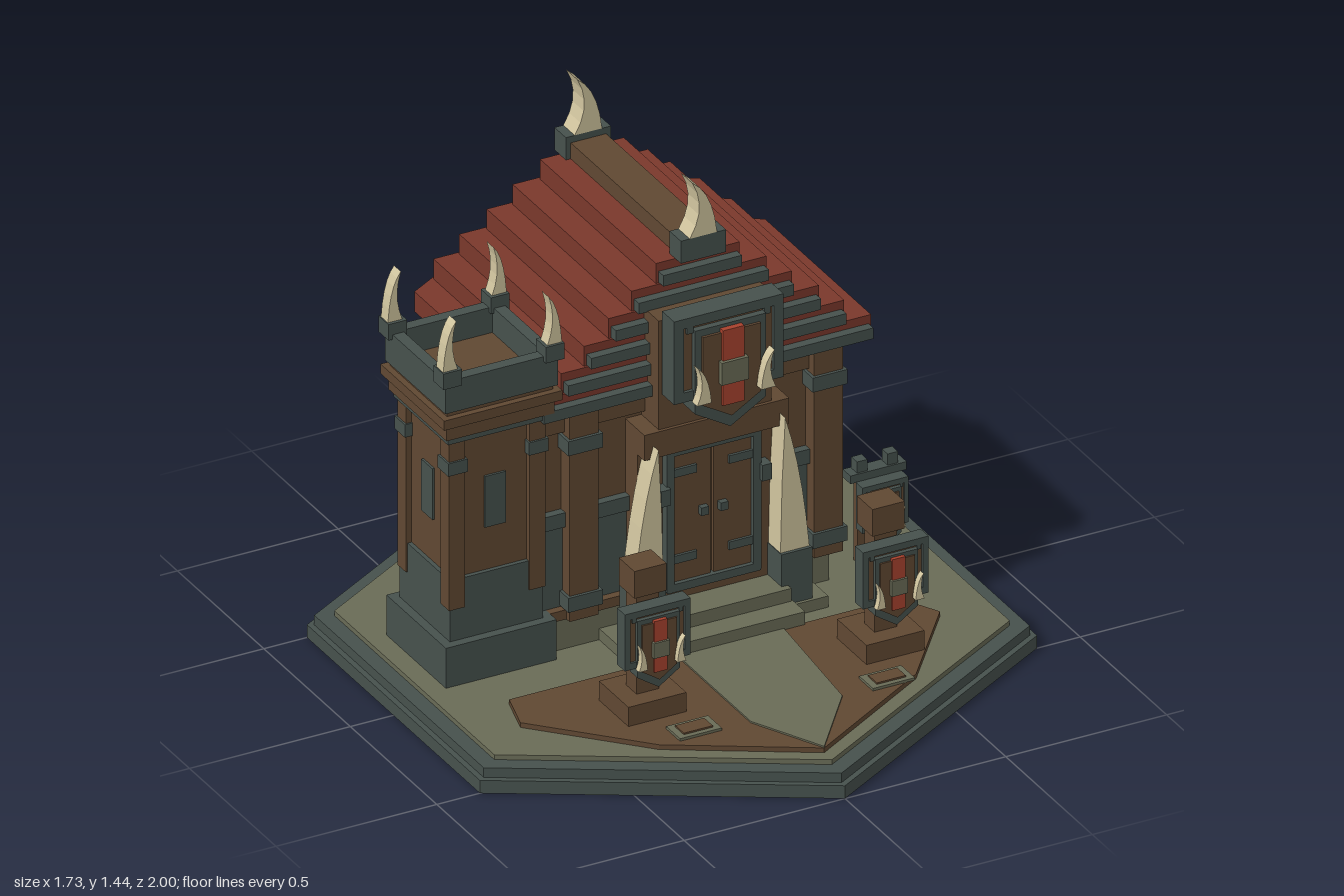
import * as THREE from 'three';

const mat = (name, color) => Object.assign(new THREE.MeshStandardMaterial({ color, flatShading: true }), { name });
const stone = mat('dark stone', 0x46514d);
const wood = mat('brown wood', 0x604832);
const ground = mat('olive ground', 0x696b56);
const roofRed = mat('roof red', 0x7a382c);
const bannerRed = mat('banner red', 0xa8422e);
const bone = mat('bone', 0xd0c49e);

const add = (parent, name, geo, m, x = 0, y = 0, z = 0) => {
  const mesh = new THREE.Mesh(geo, m);
  mesh.name = name;
  mesh.position.set(x, y, z);
  parent.add(mesh);
  return mesh;
};
// box given by its limits
const box = (parent, name, m, x0, x1, y0, y1, z0, z1) =>
  add(parent, name, new THREE.BoxGeometry(x1 - x0, y1 - y0, z1 - z0), m, (x0 + x1) / 2, (y0 + y1) / 2, (z0 + z1) / 2);
const extrude = (shape, depth) => new THREE.ExtrudeGeometry(shape, { depth, bevelEnabled: false, curveSegments: 5 });
// horizontal slab from [x, z] points
const slab = (parent, name, m, pts, y0, y1) => {
  const geo = extrude(new THREE.Shape(pts.map(([x, z]) => new THREE.Vector2(x, -z))), y1 - y0);
  return add(parent, name, geo.rotateX(-Math.PI / 2), m, 0, y0, 0);
};
const group = (parent, name, x = 0, y = 0, z = 0, ry = 0) => {
  const g = new THREE.Group();
  g.name = name;
  g.position.set(x, y, z);
  g.rotation.y = ry;
  parent.add(g);
  return g;
};
// curved horn, tip bending toward side s
const horn = (parent, name, s, w, h, d, x, y, z) => {
  const k = new THREE.Shape();
  k.moveTo(s * 0.5 * w, 0);
  k.quadraticCurveTo(-s * 0.15 * w, 0.5 * h, s * 0.4 * w, h);
  k.quadraticCurveTo(-s * 0.35 * w, 0.75 * h, -s * 0.5 * w, 0);
  add(parent, name, extrude(k, d), bone, x, y, z - d / 2);
};

// framed plaque with pointed crest, banner and tusks; back on z = 0
function plaque(parent, x, y, z, sx, sy, sz) {
  const g = group(parent, 'plaque', x, y, z);
  g.scale.set(sx, sy, sz);
  box(g, 'plaqueBoard', wood, -0.155, 0.155, -0.115, 0.115, 0, 0.07);
  for (const s of [-1, 1]) {
    box(g, 'plaqueFrameSide', stone, s * 0.155 - 0.015, s * 0.155 + 0.015, -0.13, 0.13, 0.01, 0.08);
    box(g, 'plaqueFrameRail', stone, -0.14, 0.14, s * 0.115 - 0.015, s * 0.115 + 0.015, 0.01, 0.08);
    box(g, 'plaqueStud', stone, s * 0.12 - 0.01, s * 0.12 + 0.01, 0.08, 0.1, 0.07, 0.08);
    horn(g, 'plaqueTusk', s, 0.045, 0.115, 0.03, s * 0.1, -0.125, 0.11);
  }
  const crest = (k, lift) => new THREE.Shape([[-0.11, 0.09], [-0.11, -0.17], [0, -0.235], [0.11, -0.17], [0.11, 0.09]]
    .map(([a, b]) => new THREE.Vector2(a * k, b * k + lift)));
  add(g, 'crestRim', extrude(crest(1, 0), 0.07), stone, 0, 0, 0.02);
  add(g, 'crestFace', extrude(crest(0.82, -0.005), 0.012), wood, 0, 0, 0.086);
  box(g, 'banner', bannerRed, -0.033, 0.033, -0.155, 0.08, 0.09, 0.108);
  box(g, 'bannerEmblem', ground, -0.042, 0.042, -0.085, -0.015, 0.1, 0.118);
}

function buildBase(root) {
  const g = group(root, 'base');
  for (const [name, m, r, y0, y1] of [['baseStep', stone, 1, 0, 0.04], ['baseRim', stone, 0.98, 0.04, 0.07], ['ground', ground, 0.925, 0.07, 0.085]]) {
    const pts = [];
    for (let i = 0; i < 6; i++) pts.push([r * Math.sin(i * Math.PI / 3), r * Math.cos(i * Math.PI / 3)]);
    slab(g, name, m, pts, y0, y1);
  }
  // dirt beds either side of the path
  slab(g, 'dirtLeft', wood, [[0.22, 0.23], [0.58, 0.23], [0.645, 0.35], [0.42, 0.63], [0, 0.88], [0.18, 0.65]], 0.085, 0.1);
  slab(g, 'dirtRight', wood, [[-0.11, 0.23], [-0.63, 0.23], [-0.665, 0.36], [-0.39, 0.65], [0, 0.88], [-0.11, 0.66]], 0.085, 0.1);
  slab(g, 'path', ground, [[-0.11, 0.23], [0.22, 0.23], [0.18, 0.65], [0, 0.88], [-0.11, 0.66]], 0.085, 0.105);
  for (const x of [-0.265, 0.335]) {
    box(g, 'flagstoneRim', ground, x - 0.065, x + 0.065, 0.1, 0.108, 0.58, 0.66);
    box(g, 'flagstone', wood, x - 0.045, x + 0.045, 0.1, 0.113, 0.595, 0.645);
  }
  // entrance steps
  box(g, 'lowerStep', ground, -0.24, 0.4, 0.085, 0.12, 0, 0.16);
  box(g, 'middleStep', ground, -0.14, 0.285, 0.085, 0.14, 0, 0.24);
  box(g, 'upperStep', ground, -0.12, 0.28, 0.14, 0.18, 0, 0.17);
}

function post(parent, x, z, ry = 0) {
  const g = group(parent, 'cornerPost', x, 0, z, ry);
  box(g, 'postShaft', wood, -0.045, 0.045, 0.18, 0.82, -0.045, 0.045);
  for (const y of [0.215, 0.705]) box(g, 'postBand', stone, -0.054, 0.054, y, y + 0.045, -0.054, 0.054);
}

function buildHouse(root) {
  const g = group(root, 'house');
  const outline = k => [[-0.45 - k, k], [0.45 + k, k], [0.45 + k, -0.38 - k * 0.6], [0, -0.645 - k * 1.15], [-0.45 - k, -0.38 - k * 0.6]];
  slab(g, 'foundation', ground, outline(0.025), 0.085, 0.18);
  slab(g, 'sill', wood, outline(0.032), 0.18, 0.21);
  slab(g, 'walls', wood, outline(0), 0.21, 0.83);
  slab(g, 'eaveBeam', wood, outline(0.02), 0.76, 0.82);
  // stone panels, bands and barred windows along each wall
  const c = outline(0);
  for (let i = 0; i < 5; i++) {
    const [ax, az] = c[i], [bx, bz] = c[(i + 1) % 5];
    const h = Math.hypot(bx - ax, bz - az) / 2 - 0.03;
    const w = group(g, 'wallSide', (ax + bx) / 2, 0, (az + bz) / 2, Math.atan2(az - bz, bx - ax));
    box(w, 'stonePanel', stone, -h, h, 0.21, 0.47, -0.01, 0.008);
    box(w, 'panelBand', stone, -h, h, 0.465, 0.51, -0.01, 0.025);
    if (i === 1 || i === 4) {
      box(w, 'windowPane', stone, -0.06, 0.06, 0.53, 0.68, 0, 0.008);
      for (let j = 0; j < 4; j++) box(w, 'windowBar', stone, -0.06 + j * 0.034, -0.042 + j * 0.034, 0.52, 0.69, 0, 0.022);
    }
  }
  post(g, 0.46, 0.005);
  post(g, -0.3, 0.005);
  post(g, 0.46, -0.385, Math.PI / 6);
  post(g, -0.46, -0.385, -Math.PI / 6);
  post(g, 0, -0.66);

  // entrance and double door
  const e = group(g, 'entrance', 0.08, 0, 0);
  box(e, 'porch', wood, -0.225, 0.225, 0.18, 0.66, 0, 0.07);
  box(e, 'lintel', wood, -0.225, 0.225, 0.66, 0.74, 0, 0.11);
  box(e, 'doorHead', stone, -0.145, 0.145, 0.64, 0.665, 0.06, 0.095);
  box(e, 'threshold', stone, -0.145, 0.145, 0.215, 0.24, 0.06, 0.095);
  for (const s of [-1, 1]) {
    box(e, 'doorJamb', stone, s * 0.135 - 0.012, s * 0.135 + 0.012, 0.22, 0.66, 0.06, 0.095);
    box(e, 'doorLeaf', wood, s * 0.063 - 0.058, s * 0.063 + 0.058, 0.24, 0.64, 0.06, 0.082);
    box(e, 'doorKnob', stone, s * 0.03 - 0.012, s * 0.03 + 0.012, 0.435, 0.46, 0.08, 0.1);
    box(e, 'wallLamp', stone, s * 0.157 - 0.015, s * 0.157 + 0.015, 0.5, 0.55, 0.06, 0.11);
    for (const y of [0.3, 0.57]) box(e, 'doorHinge', stone, s * 0.09 - 0.04, s * 0.09 + 0.04, y, y + 0.025, 0.08, 0.09);
    box(e, 'tuskBase', stone, s * 0.228 - 0.048, s * 0.228 + 0.048, 0.12, 0.28, 0.06, 0.15);
    const k = new THREE.Shape();
    k.moveTo(-s * 0.182, 0);
    k.lineTo(-s * 0.187, 0.22);
    k.lineTo(-s * 0.197, 0.42);
    k.quadraticCurveTo(-s * 0.25, 0.25, -s * 0.272, 0);
    add(e, 'gateTusk', extrude(k, 0.07), bone, 0, 0.28, 0.07);
  }
  box(e, 'gableFront', wood, -0.175, 0.175, 0.74, 1.08, 0, 0.1);
  plaque(e, 0, 0.985, 0.1, 1, 1, 1);
}

function buildRoof(root) {
  const g = group(root, 'roof', 0.08, 0, 0);
  const half = [0.52, 0.44, 0.365, 0.285, 0.21, 0.13];
  half.forEach((h, i) => {
    const y = 0.825 + i * 0.0625, front = 0.035 - i * 0.007, back = -0.72 + i * 0.01;
    // rear corners follow the base edge
    const pts = [[-h, front], [h, front]];
    for (const s of [1, -1]) {
      const edge = (0.577 * Math.abs(s * h + 0.08)) - 0.925;
      const cut = (0.925 + back) / 0.577 - s * 0.08;
      const corner = edge > back ? [[s * h, edge], [s * cut, back]] : [[s * h, back]];
      pts.push(...(s > 0 ? corner : corner.reverse()));
    }
    slab(g, 'roofStep', roofRed, pts, y, y + 0.0625);
    box(g, 'roofTrim', stone, -h + 0.008, h - 0.008, y + 0.002, y + 0.036, front - 0.02, front + 0.028);
  });
  // ridge with horns at both ends
  box(g, 'ridgeBeam', wood, -0.055, 0.055, 1.19, 1.25, -0.68, 0.01);
  for (const z of [0, -0.665]) {
    box(g, 'hornSocket', stone, -0.07, 0.07, 1.2, 1.27, z - 0.033, z + 0.033);
    horn(g, 'ridgeHorn', -1, 0.085, 0.172, 0.066, 0, 1.27, z);
  }
}

function buildTower(root) {
  const g = group(root, 'tower', -0.568, 0, -0.103);
  const block = (name, m, h, y0, y1) => box(g, name, m, -h, h, y0, y1, -h, h);
  block('towerFoot', stone, 0.172, 0.085, 0.21);
  block('towerStone', stone, 0.145, 0.21, 0.4);
  block('towerWall', wood, 0.132, 0.4, 0.9);
  block('towerBand', stone, 0.158, 0.835, 0.855);
  block('towerCollar', wood, 0.168, 0.855, 0.9);
  block('towerCornice', wood, 0.184, 0.9, 0.93);
  block('towerFloor', wood, 0.165, 0.93, 0.965);
  for (let i = 0; i < 4; i++) {
    const s = group(g, 'towerSide', 0, 0, 0, i * Math.PI / 2);
    box(s, 'towerWindow', stone, -0.032, 0.032, 0.535, 0.695, 0.13, 0.139);
    box(s, 'towerPost', wood, 0.1, 0.15, 0.31, 0.84, 0.1, 0.15);
    box(s, 'towerPostBand', stone, 0.095, 0.156, 0.735, 0.775, 0.095, 0.156);
    box(s, 'parapet', stone, -0.175, 0.175, 0.945, 1.045, 0.14, 0.175);
    box(s, 'parapetCorner', stone, 0.13, 0.188, 1.03, 1.08, 0.13, 0.188);
  }
  for (const sx of [-1, 1]) for (const sz of [-1, 1]) horn(g, 'towerHorn', -sx, 0.045, 0.15, 0.04, sx * 0.162, 1.08, sz * 0.16);
}

function buildYard(root) {
  const g = group(root, 'yard');
  // two plaques on posts
  for (const x of [-0.325, 0.415]) {
    box(g, 'plinth', wood, x - 0.09, x + 0.09, 0.09, 0.16, 0.35, 0.52);
    box(g, 'signPost', wood, x - 0.035, x + 0.035, 0.16, 0.55, 0.405, 0.465);
    box(g, 'signPostHead', wood, x - 0.05, x + 0.05, 0.47, 0.555, 0.39, 0.48);
    plaque(g, x, 0.365, 0.47, 0.6, 0.68, 0.65);
  }
  // hanging sign beside the house
  for (const x of [0.6, 0.695]) box(g, 'standPost', wood, x - 0.012, x + 0.012, 0.085, 0.4, -0.045, -0.02);
  for (const x of [0.6, 0.695]) box(g, 'standCap', stone, x - 0.016, x + 0.016, 0.37, 0.405, -0.05, -0.016);
  box(g, 'standBar', stone, 0.56, 0.735, 0.345, 0.37, -0.055, -0.01);
  plaque(g, 0.648, 0.275, -0.015, 0.42, 0.55, 0.55);
  // crates with patched corners
  for (const [x, z, r] of [[0.5, -0.435, 0.1], [0.39, -0.56, 0.5]]) {
    const c = group(g, 'crate', x, 0.145, z, r);
    box(c, 'crateBody', ground, -0.055, 0.055, -0.06, 0.06, -0.055, 0.055);
    for (const a of [-1, 1]) for (const b of [-1, 1]) for (const d of [-1, 1])
      add(c, 'crateCorner', new THREE.BoxGeometry(0.04, 0.04, 0.04), wood, a * 0.04, b * 0.045, d * 0.04);
  }
}

export function createModel() {
  const root = new THREE.Group();
  root.name = 'hornedLodge';
  for (const build of [buildBase, buildHouse, buildRoof, buildTower, buildYard]) build(root);
  return root;
}
